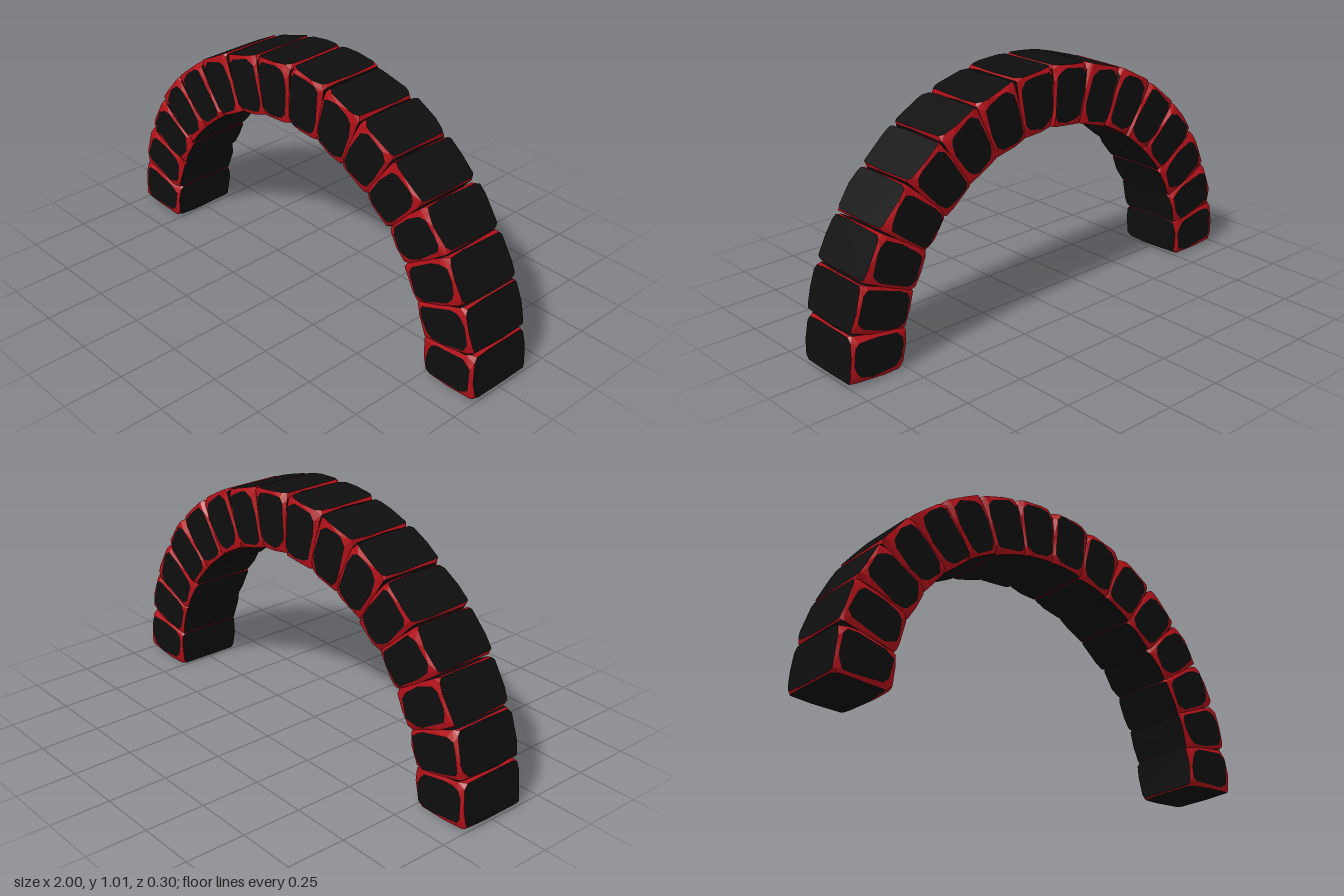
import * as THREE from 'three';
import { ConvexGeometry } from 'three/addons/geometries/ConvexGeometry.js';

const STONES = 16;
const STEP = Math.PI / STONES;
const CENTRE_Y = 0.01;
const INNER = 0.755, OUTER = 0.998;
const HALF = [(OUTER - INNER) / 2, 0.09, 0.15]; // radial, along the arch, depth

function seeded(seed) {
  let s = seed * 7919 + 17;
  return () => {
    s = (s * 16807) % 2147483647;
    return s / 2147483647;
  };
}

// Inset [minimum, spread] of each face's dark panel, along the other two axes
const INSETS = [
  [null, [0.003, 0.008], [0.004, 0.012]],    // outer and inner faces
  [[0.006, 0.014], null, [0.006, 0.016]],    // faces at the joints
  [[0.012, 0.016], [0.012, 0.014], null],    // front and back faces
];

// Worn block: the hull of one irregular panel on each side of a box
function stoneHull(rnd) {
  const points = [];
  for (let axis = 0; axis < 3; axis++) {
    const u = (axis + 1) % 3, v = (axis + 2) % 3;
    const inset = (k) => INSETS[axis][k][0] + INSETS[axis][k][1] * rnd();
    for (const side of [-1, 1]) {
      const add = (pu, pv) => {
        const p = [0, 0, 0];
        p[axis] = side * HALF[axis];
        p[u] = pu;
        p[v] = pv;
        points.push(new THREE.Vector3(...p));
      };
      for (const su of [-1, 1]) {
        for (const sv of [-1, 1]) {
          // two points cut off each corner
          const cut = axis === 2 ? 0.012 : 0.004;
          const cu = HALF[u] - inset(u), cv = HALF[v] - inset(v);
          add(su * cu, sv * (cv - cut - 0.018 * rnd()));
          add(su * (cu - cut - 0.018 * rnd()), sv * cv);
        }
        // slight bulge along each edge
        add(su * (HALF[u] - INSETS[axis][u][0]), (rnd() - 0.5) * HALF[v]);
        add((rnd() - 0.5) * HALF[u], su * (HALF[v] - INSETS[axis][v][0]));
      }
    }
  }
  return new ConvexGeometry(points);
}

// Taper the block into a wedge and move it out to the ring
function toWedge([r, t, z], lift) {
  const f = (r + HALF[0]) / (2 * HALF[0]);
  const width = THREE.MathUtils.lerp(0.082, 0.094, f);
  return [INNER + f * (OUTER - INNER) + lift, (t / HALF[1]) * width, z];
}

function flatMesh(positions, material, name) {
  const geometry = new THREE.BufferGeometry();
  geometry.setAttribute('position', new THREE.Float32BufferAttribute(positions, 3));
  geometry.computeVertexNormals();
  const mesh = new THREE.Mesh(geometry, material);
  mesh.name = name;
  return mesh;
}

export function createModel() {
  const dark = new THREE.MeshStandardMaterial({ color: 0x0e0e0e });
  const red = new THREE.MeshStandardMaterial({ color: 0xb01018 });
  const arch = new THREE.Group();
  arch.name = 'stoneArch';

  for (let i = 0; i < STONES; i++) {
    const rnd = seeded(i + 1);
    const pos = stoneHull(rnd).getAttribute('position');
    const lift = (rnd() - 0.5) * 0.006;
    const panels = [], edges = [];

    // Triangles lying in a side of the box are panels, the rest worn edges
    for (let k = 0; k < pos.count; k += 3) {
      const tri = [0, 1, 2].map((j) => [pos.getX(k + j), pos.getY(k + j), pos.getZ(k + j)]);
      const onSide = HALF.some((h, a) =>
        [-1, 1].some((s) => tri.every((p) => Math.abs(p[a] - s * h) < 1e-5)));
      for (const p of tri) (onSide ? panels : edges).push(...toWedge(p, lift));
    }

    const stone = new THREE.Group();
    stone.name = `archStone${i + 1}`;
    stone.add(flatMesh(panels, dark, 'stonePanels'), flatMesh(edges, red, 'wornEdges'));
    stone.rotation.z = (i + 0.5) * STEP;
    stone.position.y = CENTRE_Y;
    arch.add(stone);
  }
  return arch;
}
